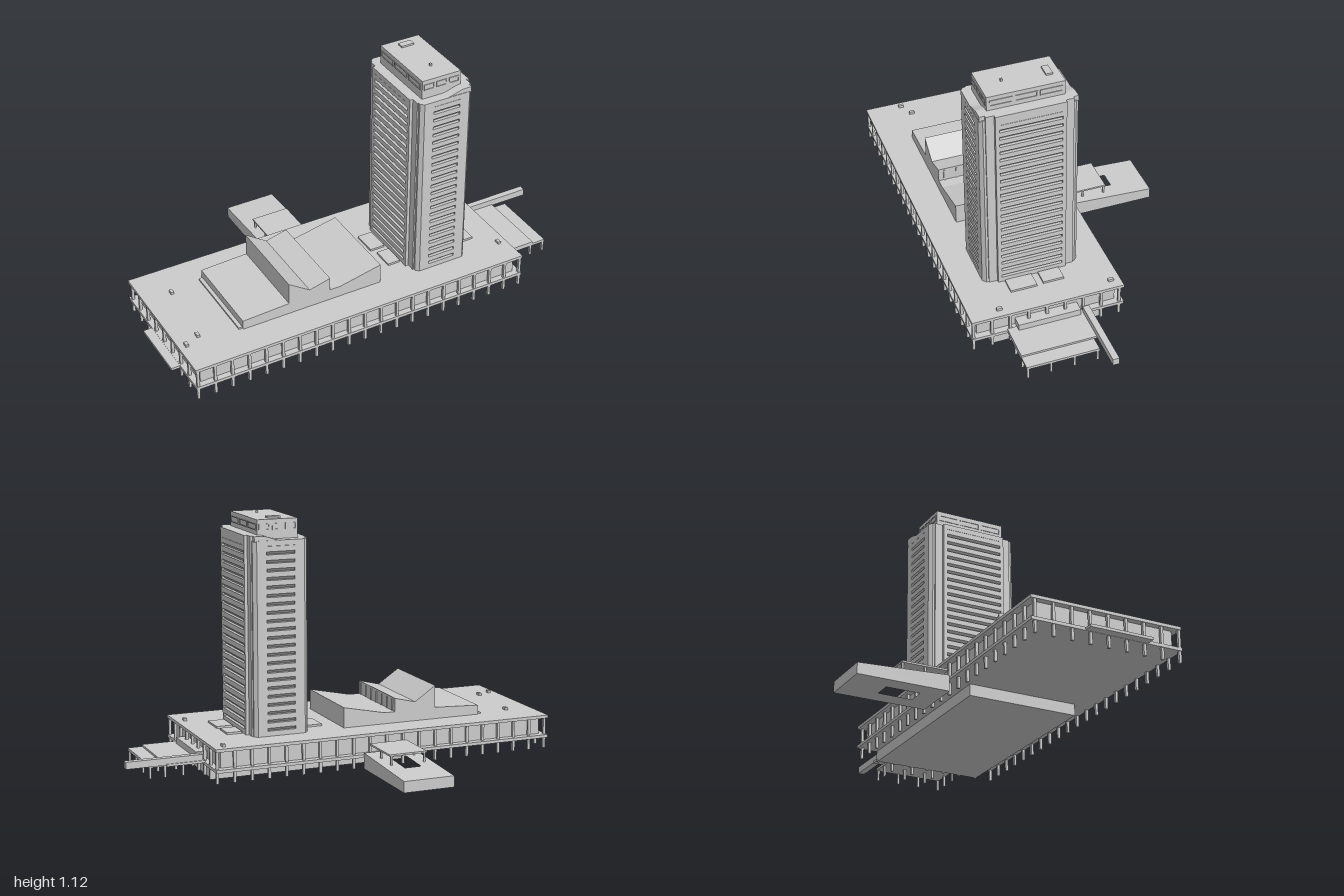
import * as THREE from 'three';

const grey = new THREE.MeshStandardMaterial({ color: 0xcccccc, flatShading: true });

function add(parent, name, geometry) {
  const mesh = new THREE.Mesh(geometry, grey);
  mesh.name = name;
  parent.add(mesh);
  return mesh;
}

// Box given by its extents on each axis
function box(parent, name, x0, x1, y0, y1, z0, z1) {
  const m = add(parent, name, new THREE.BoxGeometry(x1 - x0, y1 - y0, z1 - z0));
  m.position.set((x0 + x1) / 2, (y0 + y1) / 2, (z0 + z1) / 2);
  return m;
}

const shapeOf = (pts) => new THREE.Shape(pts.map(([x, y]) => new THREE.Vector2(x, y)));

// Side profile in x,y swept along z
function sweepZ(pts, z0, z1) {
  return new THREE.ExtrudeGeometry(shapeOf(pts), { depth: z1 - z0, bevelEnabled: false }).translate(0, 0, z0);
}

// Plan in x,z raised along y
function raise(pts, y0, y1, hole) {
  const flip = (list) => list.map(([x, z]) => [x, -z]);
  const s = shapeOf(flip(pts));
  if (hole) s.holes.push(shapeOf(flip(hole)));
  return new THREE.ExtrudeGeometry(s, { depth: y1 - y0, bevelEnabled: false }).rotateX(-Math.PI / 2).translate(0, y0, 0);
}

const rect = (x0, x1, z0, z1) => [[x0, z0], [x1, z0], [x1, z1], [x0, z1]];

function buildPodium() {
  const g = new THREE.Group();
  g.name = 'podium';
  box(g, 'lowerHall', -0.27, 0.635, 0, 0.052, -0.04, 0.465);
  box(g, 'floorSlab', -0.96, 0.65, 0.051, 0.065, -0.138, 0.553);
  box(g, 'upperWalls', -0.93, 0.62, 0.065, 0.143, -0.105, 0.525);
  box(g, 'roofSlab', -0.96, 0.65, 0.143, 0.157, -0.138, 0.553);

  // Colonnade around the whole edge
  const column = (x, z) => box(g, 'column', x - 0.006, x + 0.006, 0, 0.145, z - 0.006, z + 0.006);
  const xAt = (i) => -0.95 + i * 0.0795;
  const zAt = (i) => -0.118 + i * 0.0829;
  for (let i = 0; i <= 20; i++) [zAt(0), zAt(8)].forEach((z) => column(xAt(i), z));
  for (let i = 1; i < 8; i++) [xAt(0), xAt(20)].forEach((x) => column(x, zAt(i)));

  // Roof lights and vents
  [[0.075, 0.145, 0.08, 0.195], [0.09, 0.15, 0.225, 0.325], [0.45, 0.52, 0.09, 0.185], [0.45, 0.525, 0.215, 0.335]]
    .forEach(([x0, x1, z0, z1]) => box(g, 'roofLight', x0, x1, 0.157, 0.166, z0, z1));
  [[-0.83, 0.035], [-0.857, 0.353], [-0.925, 0.387], [0.603, -0.093], [0.609, 0.418]]
    .forEach(([x, z]) => box(g, 'vent', x - 0.007, x + 0.007, 0.157, 0.169, z - 0.012, z + 0.012));
  return g;
}

function buildRoofHall() {
  const g = new THREE.Group();
  g.name = 'roofHall';
  add(g, 'hallRoof', sweepZ([[-0.67, 0.157], [0, 0.157], [0, 0.25], [-0.2, 0.208], [-0.25, 0.208], [-0.25, 0.27],
    [-0.35, 0.245], [-0.45, 0.312], [-0.45, 0.21], [-0.67, 0.2]], 0.003, 0.408));
  box(g, 'hallLedge', -0.687, -0.67, 0.157, 0.165, 0.01, 0.4);
  // Fins on the tall window wall
  for (let i = 0; i < 7; i++) {
    const z = 0.03 + i * 0.0585;
    box(g, 'windowFin', -0.252, -0.246, 0.208, 0.262, z - 0.003, z + 0.003);
  }
  return g;
}

// One louvred bay facing +z, its outer face on z = 0
function buildLouvres(width) {
  const g = new THREE.Group();
  g.name = 'louvreBay';
  const d = 0.014, pitch = 0.0371;
  for (let i = 0; i < 22; i++) {
    const y = 0.18 + i * pitch;
    // Sloping soffit under an upright band
    const geo = sweepZ([[-d, y], [0, y + 0.013], [0, y + pitch - 0.001], [-d, y + pitch - 0.001]], -width / 2, width / 2);
    add(g, 'louvre', geo.rotateY(-Math.PI / 2));
  }
  box(g, 'louvreSill', -width / 2, width / 2, 0.157, 0.18, -d, 0);
  box(g, 'louvreHeader', -width / 2, width / 2, 0.18 + 22 * pitch, 1.02, -d, 0);
  return g;
}

function buildTower() {
  const g = new THREE.Group();
  g.name = 'tower';
  // Quarter plan relative to the tower centre, mirrored four ways
  const cx = 0.3, cz = 0.2085, d = 0.014;
  const quarter = [[0.145 - d, 0.138], [0.145, 0.138], [0.145, 0.155], [0.131, 0.155], [0.131, 0.192],
    [0.125, 0.192], [0.125, 0.202], [0.11, 0.217], [0.065, 0.217], [0.065, 0.217 - d]];
  const mirror = (sx, sz) => {
    const q = quarter.map(([x, z]) => [cx + x * sx, cz + z * sz]);
    return sx * sz > 0 ? q : q.reverse();
  };
  const plan = [...mirror(1, 1), ...mirror(-1, 1), ...mirror(-1, -1), ...mirror(1, -1)];
  add(g, 'shaft', raise(plan, 0.157, 1.02));

  // Roof edge rising in a soft curve toward the left side
  const rise = [[0.42, 1.015], [0.42, 1.04], [0.39, 1.04]];
  for (let i = 0; i <= 6; i++) {
    const t = i / 6;
    rise.push([0.385 - 0.085 * t, 1.04 - 0.02 * t * t * (3 - 2 * t)]);
  }
  rise.push([0.3, 1.015]);
  add(g, 'raisedRoof', sweepZ(rise, cz - 0.215, cz + 0.215));
  box(g, 'raisedSide', 0.415, 0.431, 1.015, 1.04, cz - 0.192, cz + 0.192);
  box(g, 'raisedBay', 0.425, 0.445, 1.015, 1.04, cz - 0.155, cz + 0.155);

  // Louvred bays on all four sides
  for (let i = 0; i < 4; i++) {
    const bay = buildLouvres(i % 2 ? 0.276 : 0.13);
    const a = (i * Math.PI) / 2, r = i % 2 ? 0.145 : 0.217;
    bay.rotation.y = a;
    bay.position.set(cx + Math.sin(a) * r, 0, cz + Math.cos(a) * r);
    g.add(bay);
  }

  // Penthouse with three window frames on each side
  const x0 = 0.202, x1 = 0.39, z0 = 0.04, z1 = 0.382;
  box(g, 'penthouse', x0, x1, 1.01, 1.106, z0, z1);
  const frame = (w) => {
    const s = shapeOf([[-w, -0.014], [w, -0.014], [w, 0.014], [-w, 0.014]]);
    const k = w - 0.004;
    s.holes.push(shapeOf([[-k, -0.01], [k, -0.01], [k, 0.01], [-k, 0.01]]));
    return new THREE.ExtrudeGeometry(s, { depth: 0.003, bevelEnabled: false });
  };
  for (let side = 0; side < 4; side++) {
    const a = (side * Math.PI) / 2, long = side % 2;
    const step = long ? 0.109 : 0.061, r = long ? (x1 - x0) / 2 : (z1 - z0) / 2;
    for (let i = -1; i <= 1; i++) {
      const m = add(g, 'penthouseWindow', frame(long ? 0.049 : 0.025));
      m.rotation.y = a;
      m.position.set((x0 + x1) / 2 + Math.sin(a) * r + Math.cos(a) * i * step, 1.073,
        (z0 + z1) / 2 + Math.cos(a) * r - Math.sin(a) * i * step);
    }
  }
  box(g, 'rooftopUnit', 0.27, 0.33, 1.106, 1.114, 0.073, 0.103);
  box(g, 'rooftopPipe', 0.295, 0.304, 1.106, 1.117, 0.282, 0.291);
  return g;
}

function buildRamp() {
  const g = new THREE.Group();
  g.name = 'rearRamp';
  // Block with a stair opening, its top falling toward the back
  const geo = raise(rect(-0.272, -0.037, -0.556, -0.137), 0, 1, rect(-0.195, -0.118, -0.39, -0.235));
  const p = geo.attributes.position;
  for (let i = 0; i < p.count; i++) {
    if (p.getY(i) > 0.5) p.setY(i, 0.072 + ((p.getZ(i) + 0.137) / 0.419) * 0.022);
  }
  geo.computeVertexNormals();
  add(g, 'rampBlock', geo);
  box(g, 'rampCanopy', -0.245, -0.068, 0.102, 0.11, -0.342, -0.13);
  for (const x of [-0.235, -0.078]) {
    for (const z of [-0.232, -0.336]) box(g, 'canopyPost', x - 0.004, x + 0.004, 0.055, 0.104, z - 0.004, z + 0.004);
  }
  return g;
}

function buildSideTerraces() {
  const g = new THREE.Group();
  g.name = 'sideTerraces';
  box(g, 'rightBalcony', -1, -0.95, 0.052, 0.064, 0.104, 0.39);
  box(g, 'leftTerrace', 0.645, 0.885, 0.05, 0.062, 0.068, 0.395);
  box(g, 'terraceStep', 0.645, 0.82, 0.06, 0.071, 0.022, 0.395);
  box(g, 'entrance', 0.615, 0.672, 0.07, 0.1, 0.07, 0.352);
  box(g, 'footbridge', 0.655, 1, 0.066, 0.098, 0.027, 0.056);
  for (const x of [0.73, 0.812, 0.879]) {
    for (const z of [0.076, 0.18, 0.285, 0.388]) box(g, 'terracePost', x - 0.005, x + 0.005, 0, 0.052, z - 0.005, z + 0.005);
  }
  return g;
}

export function createModel() {
  const model = new THREE.Group();
  model.name = 'towerBuilding';
  model.add(buildPodium(), buildRoofHall(), buildTower(), buildRamp(), buildSideTerraces());
  return model;
}
